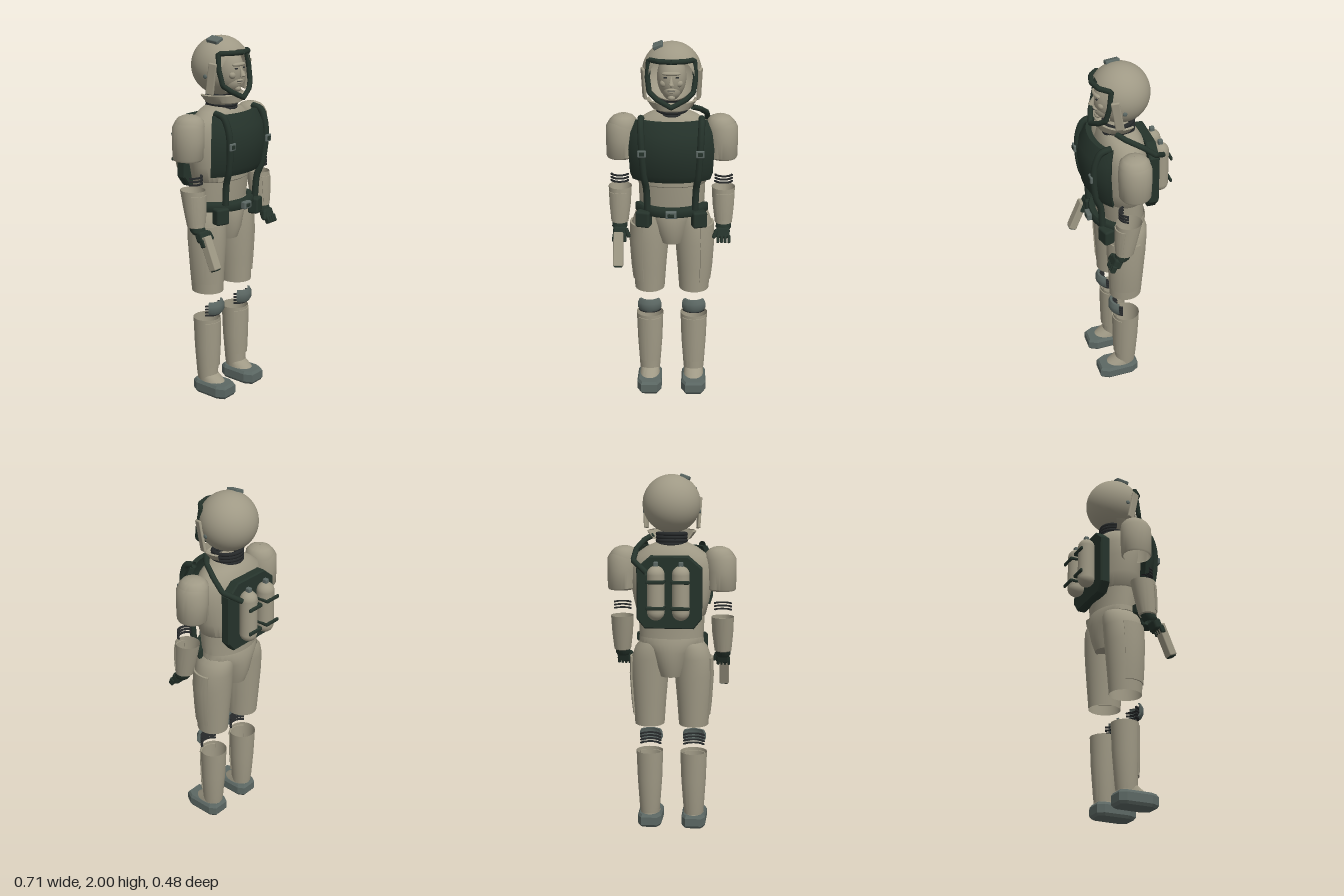
import * as THREE from 'three';
import { toCreasedNormals } from 'three/addons/utils/BufferGeometryUtils.js';
import { RoundedBoxGeometry } from 'three/addons/geometries/RoundedBoxGeometry.js';

const DEG = Math.PI / 180;
const mat = (name, color) => new THREE.MeshStandardMaterial({ name, color, side: THREE.DoubleSide });

// Skin through elliptical sections [y, cx, cz, rx, rz]; angles in degrees from the front towards +x.
// For partial arcs, 'edge' pulls the two side borders inwards so that a plate looks thick.
function loft(sections, a0 = -180, a1 = 180, n = 40, edge = 0) {
  const full = a1 - a0 >= 360, cols = full ? n : n + 1, pos = [], idx = [];
  for (const [y, cx, cz, rx, rz] of sections) {
    for (let i = 0; i < cols; i++) {
      const border = !full && (i === 0 || i === n) ? edge : 0;
      const k = full ? i : Math.min(Math.max(i, 1), n - 1) - 1;
      const a = (full ? a0 + (a1 - a0) * k / n : a0 + (a1 - a0) * k / (n - 2)) * DEG;
      pos.push(cx + (rx - border) * Math.sin(a), y, cz + (rz - border) * Math.cos(a));
    }
  }
  for (let j = 0; j < sections.length - 1; j++) {
    for (let i = 0; i < n; i++) {
      const a = j * cols + i, b = j * cols + (i + 1) % cols;
      idx.push(a, b, b + cols, a, b + cols, a + cols);
    }
  }
  const g = new THREE.BufferGeometry();
  g.setAttribute('position', new THREE.Float32BufferAttribute(pos, 3));
  g.setIndex(idx);
  return toCreasedNormals(g, 0.7);
}

// Thick curved plate: the first and last sections are repeated slightly smaller.
function plate(sections, a0, a1, t = 0.012, n = 20) {
  const inner = ([y, cx, cz, rx, rz]) => [y, cx, cz, rx - t, rz - t];
  return loft([inner(sections[0]), ...sections, inner(sections.at(-1))], a0, a1, n, t);
}

const pathOf = (pts) => {
  const path = new THREE.CurvePath();
  const v = pts.map((p) => new THREE.Vector3(...p));
  for (let i = 1; i < v.length; i++) path.add(new THREE.LineCurve3(v[i - 1], v[i]));
  return path;
};

export function createModel() {
  const model = new THREE.Group();
  model.name = 'spaceSuitFigure';
  const tan = mat('suitTan', 0x9f9985), dark = mat('darkGreen', 0x25332b);
  const grey = mat('greyGreen', 0x5c6864), black = mat('jointBlack', 0x26292a);

  const add = (name, geo, m, p = [0, 0, 0], r = [0, 0, 0], s = [1, 1, 1]) => {
    const mesh = new THREE.Mesh(geo, m);
    mesh.name = name;
    mesh.position.set(...p);
    mesh.rotation.set(...r);
    mesh.scale.set(...s);
    model.add(mesh);
    return mesh;
  };
  const box = (name, m, size, p, r, round = 0.006) =>
    add(name, new RoundedBoxGeometry(...size, 2, Math.min(round, Math.min(...size) * 0.45)), m, p, r);
  const ball = (name, m, size, p) => add(name, new THREE.SphereGeometry(1, 28, 20), m, p, [0, 0, 0], size);

  // Torso and pelvis
  add('torso', loft([
    [1.08, 0, 0.01, 0.175, 0.115], [1.17, 0, 0.015, 0.18, 0.12], [1.235, 0, 0.015, 0.182, 0.125],
    [1.24, 0, 0.015, 0.188, 0.13], [1.32, 0, 0.015, 0.208, 0.133], [1.42, 0, 0.015, 0.225, 0.133],
    [1.51, 0, 0.015, 0.222, 0.128], [1.57, 0, 0.015, 0.195, 0.115], [1.61, 0, 0.018, 0.14, 0.095],
    [1.635, 0, 0.02, 0.085, 0.075], [1.64, 0, 0.02, 0.01, 0.01]]), tan);
  add('pelvis', loft([
    [0.9, 0, 0.015, 0.01, 0.01], [0.9, 0, 0.015, 0.075, 0.105], [0.96, 0, 0.015, 0.1, 0.125],
    [1.04, 0, 0.012, 0.135, 0.132], [1.09, 0, 0.01, 0.18, 0.128], [1.12, 0, 0.01, 0.178, 0.12]]), tan);

  // Chest plate, belt and buckle
  add('chestPlate', plate([
    [1.28, 0, 0.05, 0.235, 0.145], [1.32, 0, 0.05, 0.25, 0.17], [1.45, 0, 0.05, 0.258, 0.187],
    [1.54, 0, 0.05, 0.245, 0.175], [1.605, 0, 0.05, 0.215, 0.135]], -62, 62, 0.03, 26), dark);
  add('belt', plate([[1.077, 0, 0.01, 0.2, 0.17], [1.085, 0, 0.01, 0.206, 0.176],
    [1.12, 0, 0.01, 0.206, 0.176], [1.128, 0, 0.01, 0.2, 0.17]], -75, 75, 0.03), dark);
  box('beltBuckle', grey, [0.06, 0.04, 0.03], [0, 1.102, 0.195]);
  box('buckleCentre', dark, [0.035, 0.02, 0.008], [0, 1.102, 0.21]);

  // Neck bellows and collar
  for (let i = 0; i < 4; i++) {
    add('neckRing', new THREE.TorusGeometry(0.077, 0.011, 8, 36), black,
      [0, 1.625 + i * 0.018, 0.022], [Math.PI / 2 + 0.08, 0, 0]);
  }
  add('collar', loft([[1.645, 0, 0.03, 0.085, 0.085], [1.655, 0, 0.035, 0.105, 0.1],
    [1.695, 0, 0.025, 0.135, 0.115], [1.7, 0, 0.025, 0.125, 0.105]], -115, 115), tan);

  // Helmet shell, open at the face
  add('helmet', new THREE.SphereGeometry(0.157, 48, 32, 0, Math.PI * 2, 50 * DEG, 130 * DEG), tan,
    [0, 1.843, 0.015], [Math.PI / 2 + 13 * DEG, 0, 0]);
  const rim = [[0, 1.922, 0.163], [0.07, 1.922, 0.145], [0.118, 1.92, 0.095], [0.125, 1.83, 0.108],
    [0.115, 1.755, 0.125], [0.075, 1.722, 0.15], [0, 1.685, 0.172]];
  const rimLoop = [...rim, ...rim.slice(0, -1).reverse().map(([x, y, z]) => [-x, y, z])];
  add('visorFrame', new THREE.TubeGeometry(pathOf(rimLoop), 96, 0.014, 8, false), dark);
  box('helmetLamp', grey, [0.054, 0.022, 0.075], [-0.072, 1.983, 0.033], [0.1, 0, 0.35]);

  // Head
  ball('head', tan, [0.077, 0.118, 0.092], [0, 1.825, 0.062]);
  ball('jaw', tan, [0.052, 0.06, 0.068], [0, 1.765, 0.082]);
  ball('chin', tan, [0.02, 0.016, 0.018], [0, 1.729, 0.132]);
  ball('brow', tan, [0.05, 0.012, 0.02], [0, 1.857, 0.138]);
  add('nose', new THREE.ConeGeometry(0.016, 0.06, 12), tan, [0, 1.825, 0.157], [-0.3, 0, 0]);
  ball('noseTip', tan, [0.012, 0.01, 0.014], [0, 1.803, 0.167]);
  ball('upperLip', tan, [0.023, 0.006, 0.012], [0, 1.774, 0.146]);
  ball('lowerLip', tan, [0.02, 0.006, 0.012], [0, 1.762, 0.144]);
  ball('mouth', black, [0.02, 0.0015, 0.013], [0, 1.768, 0.145]);

  // Backpack plate
  const back = new THREE.Shape([[-0.1, 1.57], [-0.17, 1.51], [-0.17, 1.24], [-0.13, 1.19],
    [0.13, 1.19], [0.17, 1.24], [0.17, 1.51], [0.1, 1.57]].map((p) => new THREE.Vector2(...p)));
  add('backPlate', new THREE.ExtrudeGeometry(back,
    { depth: 0.04, bevelThickness: 0.008, bevelSize: 0.006, bevelSegments: 1 }), dark, [0, 0, -0.14]);
  add('airHose', new THREE.TubeGeometry(pathOf([[0.115, 1.49, -0.185], [0.195, 1.55, -0.12],
    [0.185, 1.605, -0.05], [0.15, 1.645, 0.03], [0.11, 1.665, 0.07]]), 40, 0.015, 10), dark);

  // Parts on both sides; s = 1 is the figure's left
  for (const s of [1, -1]) {
    const arc = (a, b) => (s > 0 ? [a, b] : [-b, -a]);
    const mir = (list) => list.map(([y, cx, ...rest]) => [y, cx * s, ...rest]);

    // Face and helmet details
    ball('eye', black, [0.011, 0.0045, 0.006], [s * 0.03, 1.838, 0.146]);
    ball('cheek', tan, [0.022, 0.02, 0.018], [s * 0.038, 1.803, 0.126]);
    box('helmetSidePanel', tan, [0.016, 0.17, 0.045], [s * 0.146, 1.79, 0.072], [0.16, s * -0.3, s * -0.05]);
    ball('helmetBolt', grey, [0.006, 0.012, 0.012], [s * 0.152, 1.8, 0.035]);

    // Air tank with valve and clamps
    add('airTank', new THREE.CapsuleGeometry(0.047, 0.2, 10, 28), tan, [s * 0.067, 1.385, -0.187]);
    box('tankValve', grey, [0.025, 0.035, 0.027], [s * 0.067, 1.535, -0.187]);
    for (const y of [1.31, 1.45]) {
      box('tankClamp', dark, [0.098, 0.02, 0.014], [s * 0.067, y, -0.236]);
      box('clampArm', dark, [0.014, 0.016, 0.09], [s * 0.022, y, -0.19]);
    }

    // Chest strap, buckle and belt pouch
    add('chestStrap', new THREE.TubeGeometry(new THREE.CatmullRomCurve3([
      [0.16, 1.615, 0.11], [0.16, 1.6, 0.165], [0.157, 1.54, 0.195], [0.153, 1.45, 0.205],
      [0.143, 1.31, 0.19], [0.133, 1.24, 0.165], [0.128, 1.12, 0.155]]
      .map(([x, y, z]) => new THREE.Vector3(x * s, y, z))), 40, 0.018, 8), dark);
    box('strapBuckle', grey, [0.046, 0.04, 0.014], [s * 0.153, 1.45, 0.222]);
    box('strapBuckleCentre', dark, [0.026, 0.022, 0.006], [s * 0.153, 1.45, 0.229]);
    box('beltPouch', dark, [0.08, 0.09, 0.06], [s * 0.15, 1.06, 0.14], [0, s * 0.3, 0], 0.012);

    // Shoulder and upper arm
    add('upperArmShell', loft(mir([[1.375, 0.278, 0.02, 0.07, 0.076], [1.385, 0.274, 0.02, 0.079, 0.084],
      [1.48, 0.272, 0.02, 0.083, 0.088], [1.55, 0.27, 0.02, 0.082, 0.086],
      [1.572, 0.268, 0.02, 0.072, 0.076]])), tan);
    add('shoulderCap', loft(mir([[1.55, 0.263, 0.02, 0.079, 0.083], [1.58, 0.261, 0.02, 0.073, 0.078],
      [1.6, 0.26, 0.02, 0.055, 0.06], [1.611, 0.26, 0.02, 0.03, 0.033], [1.613, 0.26, 0.02, 0.002, 0.002]])), tan);

    // Elbow ribs
    for (let i = 0; i < 3; i++) {
      const y = 1.252 + i * 0.018;
      add('elbowRib', plate(mir([[y, 0.28, 0.06, 0.052, 0.05], [y + 0.008, 0.28, 0.06, 0.052, 0.05]]),
        -75, 75, 0.01, 16), black);
    }

    // Forearm with outer plate and cuff
    add('forearm', loft(mir([[1.02, 0.283, 0.08, 0.04, 0.04], [1.025, 0.283, 0.08, 0.047, 0.049],
      [1.12, 0.281, 0.068, 0.058, 0.06], [1.22, 0.28, 0.055, 0.063, 0.07]])), tan);
    add('forearmPlate', plate(mir([[1.045, 0.283, 0.077, 0.053, 0.055], [1.12, 0.281, 0.068, 0.063, 0.066],
      [1.195, 0.28, 0.058, 0.067, 0.073]]), ...arc(-35, 60), 0.01), tan);
    add('wristCuff', loft(mir([[0.985, 0.283, 0.1, 0.032, 0.035], [1, 0.283, 0.095, 0.042, 0.042],
      [1.025, 0.283, 0.083, 0.04, 0.042]])), dark);

    // Glove
    box('palm', dark, [0.075, 0.06, 0.05], [s * 0.28, 0.975, 0.125], [-0.4, 0, 0], 0.015);
    for (let i = 0; i < 4; i++) {
      box('finger', dark, [0.016, 0.045, 0.03], [s * (0.253 + i * 0.02), 0.948, 0.15], [-0.4, 0, 0], 0.007);
    }
    box('thumb', dark, [0.022, 0.055, 0.025], [s * 0.238, 0.975, 0.14], [-0.3, 0, s * -0.35], 0.01);

    // Thigh and its outer plate
    add('thigh', loft(mir([[0.61, 0.124, 0.025, 0.083, 0.09], [0.75, 0.124, 0.022, 0.093, 0.098],
      [0.9, 0.122, 0.02, 0.104, 0.108], [1.0, 0.118, 0.015, 0.103, 0.11],
      [1.06, 0.108, 0.01, 0.092, 0.108], [1.09, 0.095, 0.01, 0.08, 0.1]])), tan);
    add('thighPlate', plate(mir([[0.67, 0.124, 0.023, 0.094, 0.1], [0.75, 0.124, 0.022, 0.103, 0.105],
      [0.9, 0.122, 0.02, 0.114, 0.114], [1.0, 0.12, 0.015, 0.112, 0.116]]), ...arc(20, 115), 0.014), tan);

    // Knee pad and ribs
    add('kneePad', plate(mir([[0.485, 0.124, 0.03, 0.07, 0.082], [0.505, 0.124, 0.03, 0.084, 0.092],
      [0.535, 0.124, 0.03, 0.084, 0.092], [0.556, 0.124, 0.03, 0.072, 0.082]]), -52, 52, 0.012), grey);
    for (let i = 0; i < 4; i++) {
      const y = 0.473 + i * 0.018;
      add('kneeRib', plate(mir([[y, 0.124, 0.03, 0.068, 0.068], [y + 0.008, 0.124, 0.03, 0.068, 0.068]]),
        -65, 65, 0.012, 16), black);
    }

    // Shin, shin plate and ankle
    add('shin', loft(mir([[0.08, 0.126, 0.028, 0.055, 0.058], [0.12, 0.126, 0.025, 0.059, 0.06],
      [0.28, 0.125, 0.022, 0.07, 0.07], [0.448, 0.125, 0.02, 0.076, 0.075]])), tan);
    add('shinPlate', plate(mir([[0.16, 0.126, 0.025, 0.067, 0.07], [0.28, 0.125, 0.022, 0.076, 0.077],
      [0.43, 0.125, 0.02, 0.08, 0.08]]), -55, 55, 0.012), tan);
    add('instep', loft(mir([[0.065, 0.126, 0.06, 0.058, 0.09], [0.085, 0.126, 0.05, 0.055, 0.075],
      [0.115, 0.126, 0.03, 0.05, 0.05]])), tan);

    // Boot: bevelled octagonal sole
    const sole = new THREE.Shape([[-0.04, 0.18], [0.04, 0.18], [0.06, 0.14], [0.058, 0], [0.04, -0.03],
      [-0.04, -0.03], [-0.058, 0], [-0.06, 0.14]].map(([x, z]) => new THREE.Vector2(x, -z)));
    add('boot', new THREE.ExtrudeGeometry(sole,
      { depth: 0.045, bevelThickness: 0.015, bevelSize: 0.01, bevelSegments: 1 }), grey,
    [s * 0.126, 0.015, 0], [-Math.PI / 2, 0, 0]);
  }

  // Handheld device in the right hand
  const tilt = [-0.4, 0, 0];
  box('handheldDevice', tan, [0.054, 0.185, 0.045], [-0.287, 0.895, 0.182], tilt);
  box('deviceEnd', dark, [0.046, 0.012, 0.038], [-0.287, 0.81, 0.218], tilt);

  return model;
}
